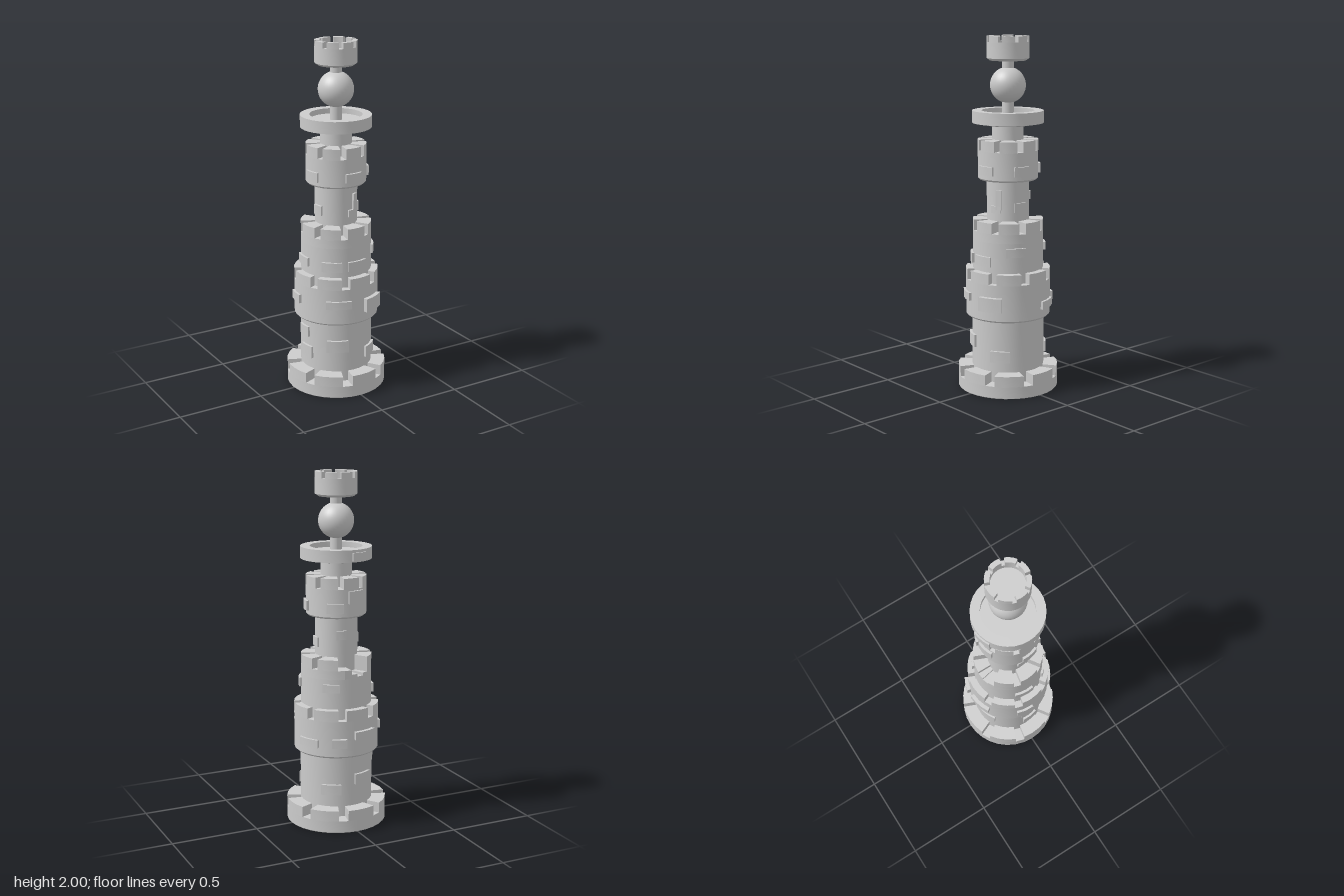
import * as THREE from 'three';
import { toCreasedNormals } from 'three/addons/utils/BufferGeometryUtils.js';

const SIDES = 32;
const STEP = 360 / SIDES;
const material = new THREE.MeshStandardMaterial({ color: 0xcccccc });

function part(name, geometry, crease = 0.5) {
  const mesh = new THREE.Mesh(toCreasedNormals(geometry, crease), material);
  mesh.name = name;
  return mesh;
}

// Solid of revolution from [radius, height] pairs
function turned(name, profile) {
  const points = profile.map(([r, y]) => new THREE.Vector2(r, y));
  return part(name, new THREE.LatheGeometry(points, SIDES));
}

// Drum with a small chamfer under its lower edge
function drum(name, r, y0, y1, chamfer = 0.01) {
  return turned(name, [[0, y0], [r - chamfer, y0], [r, y0 + chamfer], [r, y1], [0, y1]]);
}

// Curved block between two radii; angles in degrees from +z towards +x
function sector(name, rIn, rOut, a0, a1, y0, y1) {
  const n = Math.max(1, Math.round((a1 - a0) / STEP));
  const at = (r, i) => {
    const a = THREE.MathUtils.degToRad(a0 + ((a1 - a0) * i) / n);
    return new THREE.Vector2(r * Math.sin(a), -r * Math.cos(a));
  };
  const outline = [];
  for (let i = 0; i <= n; i++) outline.push(at(rOut, i));
  for (let i = n; i >= 0; i--) outline.push(at(rIn, i));
  const geometry = new THREE.ExtrudeGeometry(new THREE.Shape(outline), { depth: y1 - y0, bevelEnabled: false });
  geometry.rotateX(-Math.PI / 2).translate(0, y0, 0);
  return part(name, geometry);
}

// Eight merlons with one-step gaps
function battlement(group, rIn, rOut, y0, y1, skip = -1) {
  for (let k = 0; k < 8; k++) {
    if (k === skip) continue;
    const a = 33.75 + 45 * k;
    group.add(sector('merlon', rIn, rOut, a, a + 33.75, y0, y1));
  }
}

// Raised stones: [angle, middle height, arc width, height, projection]
function stones(group, r, list) {
  for (const [angle, y, width, height, out = 0.014] of list) {
    const half = THREE.MathUtils.radToDeg(width / r) / 2;
    group.add(sector('raisedStone', r - 0.02, r + out, angle - half, angle + half, y - height / 2, y + height / 2));
  }
}

function section(root, name, build) {
  const group = new THREE.Group();
  group.name = name;
  build(group);
  root.add(group);
}

export function createModel() {
  const tower = new THREE.Group();
  tower.name = 'tower';

  section(tower, 'base', (g) => {
    g.add(drum('baseDrum', 0.285, 0, 0.07, 0.004));
    battlement(g, 0.195, 0.285, 0.068, 0.13);
  });

  section(tower, 'lowerShaft', (g) => {
    g.add(drum('lowerShaftWall', 0.205, 0.06, 0.435));
    stones(g, 0.205, [
      [-28, 0.285, 0.12, 0.07], [37, 0.22, 0.11, 0.065], [147, 0.23, 0.11, 0.06],
      [200, 0.285, 0.11, 0.06], [271, 0.35, 0.08, 0.06], [277, 0.23, 0.09, 0.07],
    ]);
  });

  section(tower, 'wideTier', (g) => {
    g.add(drum('wideTierWall', 0.24, 0.425, 0.64));
    battlement(g, 0.19, 0.24, 0.638, 0.7);
    stones(g, 0.24, [
      [-27, 0.55, 0.14, 0.045], [26, 0.53, 0.13, 0.08, 0.025], [115, 0.507, 0.13, 0.045],
      [159, 0.515, 0.08, 0.05, 0.022], [195, 0.555, 0.13, 0.045, 0.022], [262, 0.55, 0.1, 0.05],
    ]);
  });

  // Middle tier, with a worn breach at the back
  section(tower, 'breachedTier', (g) => {
    g.add(drum('breachedTierWall', 0.2, 0.63, 0.87));
    g.add(sector('upperWall', 0.11, 0.2, 213.75, 528.75, 0.868, 0.92));
    [0.92, 0.895, 0.88, 0.895].forEach((top, i) => {
      const a = 168.75 + i * STEP;
      g.add(sector('wornStone', 0.11, 0.2, a, a + STEP, 0.868, top));
    });
    battlement(g, 0.11, 0.2, 0.918, 0.98, 3);
    stones(g, 0.2, [
      [-37, 0.762, 0.11, 0.055], [5, 0.762, 0.115, 0.055], [62, 0.818, 0.11, 0.05],
      [147, 0.82, 0.09, 0.045], [265, 0.77, 0.11, 0.05],
    ]);
  });

  section(tower, 'upperShaft', (g) => {
    g.add(drum('upperShaftWall', 0.12, 0.86, 1.22));
    stones(g, 0.12, [
      [25, 1.1, 0.03, 0.11, 0.012], [16, 1.045, 0.055, 0.04, 0.012], [84, 1.055, 0.07, 0.055, 0.01],
      [168, 1.105, 0.055, 0.05], [277, 1.06, 0.06, 0.055],
    ]);
  });

  section(tower, 'upperTier', (g) => {
    g.add(drum('upperTierWall', 0.17, 1.205, 1.37));
    battlement(g, 0.08, 0.17, 1.368, 1.43);
    stones(g, 0.17, [
      [4, 1.265, 0.1, 0.05], [76, 1.265, 0.09, 0.055], [153, 1.265, 0.09, 0.055],
      [193, 1.325, 0.09, 0.07], [280, 1.265, 0.09, 0.055],
    ]);
    g.add(drum('neck', 0.088, 1.36, 1.53));
  });

  // Shallow dish with a raised rim
  section(tower, 'dish', (g) => {
    g.add(turned('dishBowl', [[0, 1.505], [0.12, 1.508], [0.2, 1.522], [0.2, 1.59], [0.147, 1.59], [0.147, 1.56], [0, 1.56]]));
    stones(g, 0.2, [[195, 1.552, 0.1, 0.045, 0.01]]);
  });

  // Ball on a rod, carrying the small crown
  section(tower, 'finial', (g) => {
    g.add(drum('rod', 0.033, 1.55, 1.88, 0.001));
    const ball = new THREE.Mesh(new THREE.SphereGeometry(0.1, 32, 24), material);
    ball.name = 'ball';
    ball.position.y = 1.73;
    g.add(ball);
    g.add(turned('crownCup', [[0, 1.862], [0.1, 1.865], [0.118, 1.878], [0.118, 1.967], [0.09, 1.967], [0.09, 1.94], [0, 1.94]]));
    battlement(g, 0.09, 0.118, 1.966, 2);
  });

  return tower;
}
